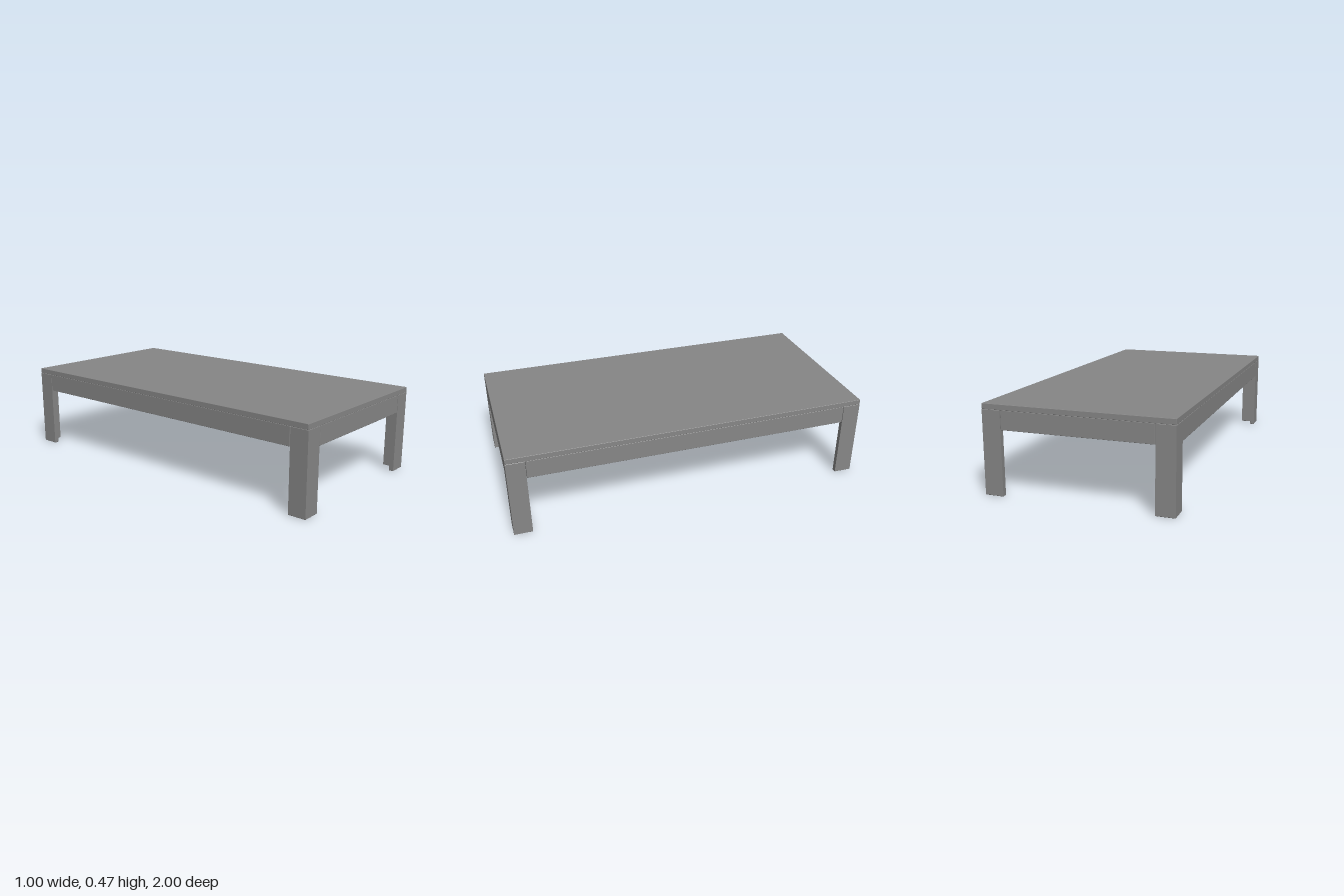
import * as THREE from 'three';
import { RoundedBoxGeometry } from 'three/addons/geometries/RoundedBoxGeometry.js';

const W = 1, L = 2, H = 0.473;      // overall size
const TOP = 0.029;                  // table top thickness
const LEG_H = H - TOP;              // leg height
const ARM = 0.1;                    // width of each leg arm
const T = 0.025;                    // board thickness
const APRON = 0.1;                  // apron height
const B = 0.002;                    // tiny edge bevel
const GAP = 0.002;                  // joint between apron and leg

export function createModel() {
  const group = new THREE.Group();
  const mat = new THREE.MeshStandardMaterial({ color: 0x868686 });

  const add = (name, geometry, x, y, z) => {
    const mesh = new THREE.Mesh(geometry, mat);
    mesh.name = name;
    mesh.position.set(x, y, z);
    group.add(mesh);
    return mesh;
  };
  const board = (w, h, d) => new RoundedBoxGeometry(w, h, d, 1, B);

  // Table top
  add('tableTop', board(W, TOP, L), 0, H - TOP / 2, 0);

  // Corner legs: an L-shaped section, its outer corner at the origin
  const section = new THREE.Shape([
    [B, B], [ARM - B, B], [ARM - B, T - B], [T - B, T - B], [T - B, ARM - B], [B, ARM - B],
  ].map(([x, y]) => new THREE.Vector2(x, y)));
  const legGeometry = new THREE.ExtrudeGeometry(section, {
    depth: LEG_H - 2 * B, bevelThickness: B, bevelSize: B, bevelSegments: 1,
  });
  legGeometry.translate(0, 0, B).rotateX(-Math.PI / 2);

  // Each quarter turn carries the leg to the next corner
  const corners = [
    ['frontRightLeg', -1, 1], ['frontLeftLeg', 1, 1],
    ['backLeftLeg', 1, -1], ['backRightLeg', -1, -1],
  ];
  corners.forEach(([name, sx, sz], i) => {
    add(name, legGeometry, sx * W / 2, 0, sz * L / 2).rotation.y = i * Math.PI / 2;
  });

  // Aprons between the legs, flush with their outer faces
  const y = LEG_H - APRON / 2;
  const inset = 2 * (ARM + GAP);
  for (const s of [1, -1]) {
    add(s > 0 ? 'frontApron' : 'backApron',
      board(W - inset, APRON, T), 0, y, s * (L - T) / 2);
    add(s > 0 ? 'leftApron' : 'rightApron',
      board(T, APRON, L - inset), s * (W - T) / 2, y, 0);
  }
  return group;
}
